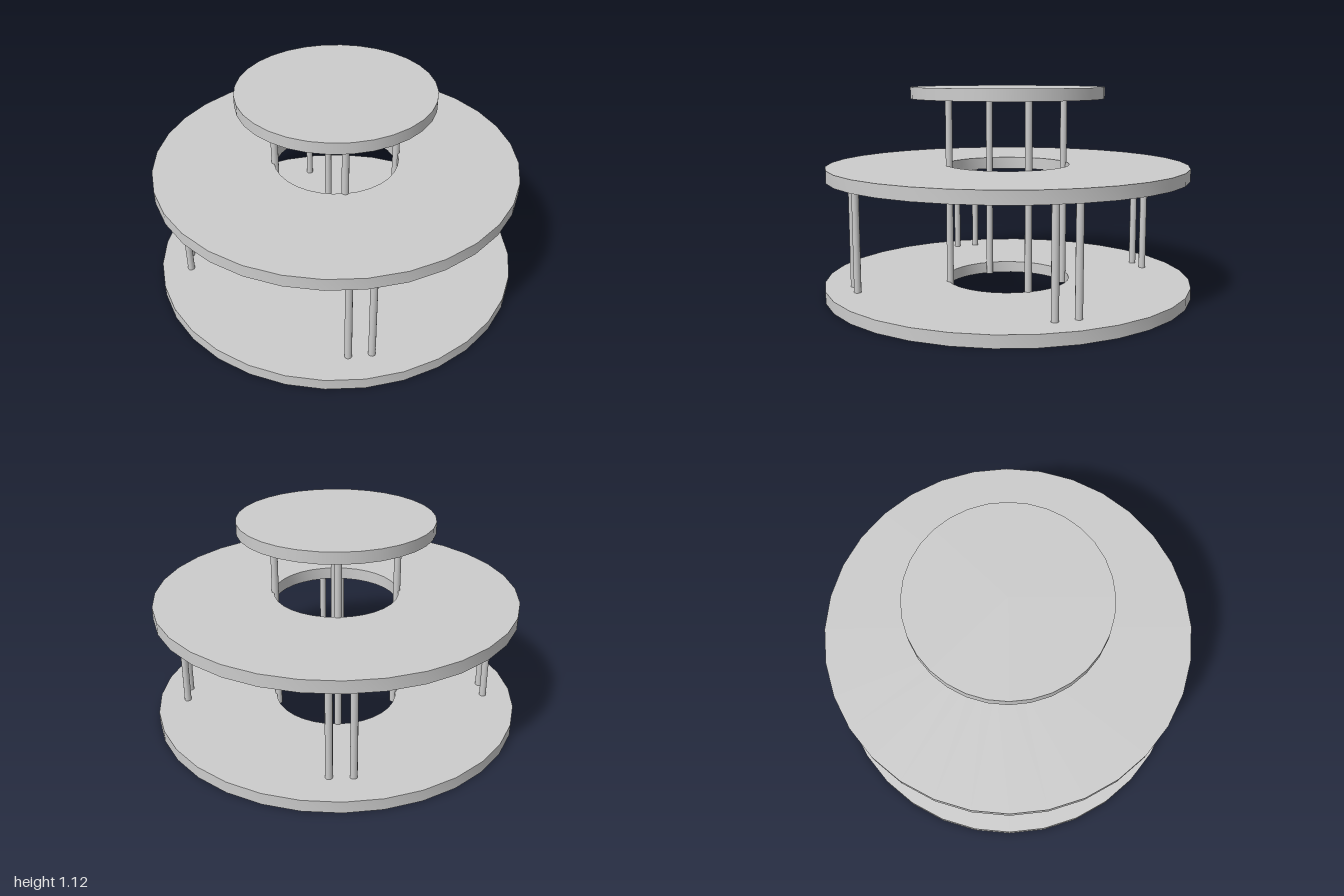
import * as THREE from 'three';
import { toCreasedNormals } from 'three/addons/utils/BufferGeometryUtils.js';

export function createModel() {
  const group = new THREE.Group();
  const material = new THREE.MeshStandardMaterial({ color: 0xcccccc });

  function add(name, geometry, x = 0, y = 0, z = 0) {
    const mesh = new THREE.Mesh(geometry, material);
    mesh.name = name;
    mesh.position.set(x, y, z);
    group.add(mesh);
  }

  // Flat ring with a round hole, revolved from a rectangular section
  function ring(name, inner, outer, y0, y1) {
    const section = [[inner, y0], [outer, y0], [outer, y1], [inner, y1], [inner, y0]]
      .map(([r, y]) => new THREE.Vector2(r, y));
    add(name, toCreasedNormals(new THREE.LatheGeometry(section, 32), 0.6));
  }

  // Round upright between two heights
  function post(name, x, z, y0, y1) {
    add(name, new THREE.CylinderGeometry(0.019, 0.019, y1 - y0, 12), x, (y0 + y1) / 2, z);
  }

  // Shelves
  ring('bottomShelf', 0.34, 1, 0, 0.063);
  ring('middleShelf', 0.337, 0.98, 0.63, 0.696);
  add('topDisc', new THREE.CylinderGeometry(0.523, 0.523, 0.062, 32), 0, 1.084, 0);

  // Four inner posts on the rim of the holes, carrying the top disc
  for (let i = 0; i < 4; i++) {
    const a = (i * Math.PI) / 2;
    post('innerPost', 0.33 * Math.sin(a), 0.33 * Math.cos(a), 0, 1.06);
  }

  // Four pairs of outer posts between the two shelves
  for (const s of [-0.06, 0.06]) {
    post('outerPostFront', s, 0.842, 0.06, 0.635);
    post('outerPostBack', s, -0.81, 0.06, 0.635);
    post('outerPostLeft', 0.842, s, 0.06, 0.635);
    post('outerPostRight', -0.838, s, 0.06, 0.635);
  }

  return group;
}
